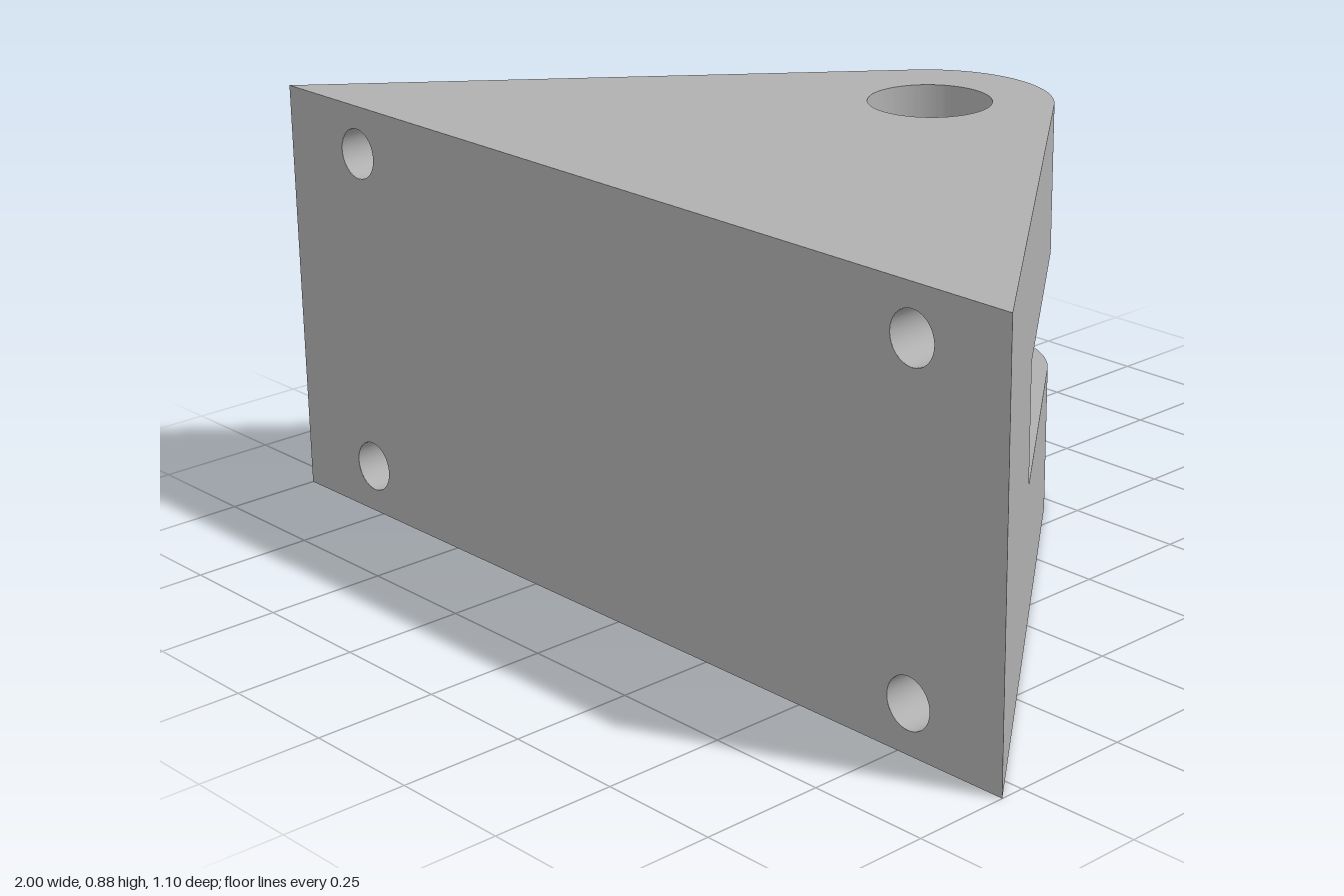
import * as THREE from 'three';
import { toCreasedNormals } from 'three/addons/utils/BufferGeometryUtils.js';

const H = 0.875;                              // overall height
const FRONT = 0.55, STEP = 0.05;              // front face and slot floor (z)
const SLOT_LOW = 0.3125, SLOT_HIGH = 0.5625;  // slot between the lugs (y)
const PIN_Z = -0.3, LUG_R = 0.25, BORE_R = 0.126;
const BOLT_X = 0.775, BOLT_Y = [0.1, 0.775], BOLT_R = 0.052, BOLT_DEPTH = 0.14;

// Angle on the lug arc where the straight flank from the front corner is tangent
const dz = FRONT - PIN_Z;
const TANGENT = Math.atan2(dz, 1) - Math.acos(LUG_R / Math.hypot(1, dz));
const tx = LUG_R * Math.cos(TANGENT), tz = PIN_Z + LUG_R * Math.sin(TANGENT);
const STEP_X = 1 - (1 - tx) * (FRONT - STEP) / (FRONT - tz);

// Extrude a plan outline (x, z) upward between two heights
function extrudePlan(shape, y0, y1) {
  const g = new THREE.ExtrudeGeometry(shape, { depth: y1 - y0, bevelEnabled: false, curveSegments: 64 });
  g.rotateX(Math.PI / 2);
  g.translate(0, y1, 0);
  return g;
}

// Remove the wall triangles lying in the given z planes, then set the normals
function openWalls(geometry, planes) {
  const p = geometry.getAttribute('position');
  const kept = [];
  for (let i = 0; i < p.count; i += 3) {
    const inPlane = planes.some(z => [0, 1, 2].every(k => Math.abs(p.getZ(i + k) - z) < 1e-4));
    if (inPlane) continue;
    for (let k = 0; k < 3; k++) kept.push(p.getX(i + k), p.getY(i + k), p.getZ(i + k));
  }
  const g = new THREE.BufferGeometry();
  g.setAttribute('position', new THREE.Float32BufferAttribute(kept, 3));
  return toCreasedNormals(g, 0.5);
}

export function createModel() {
  const group = new THREE.Group();
  group.name = 'clevisBracket';
  const grey = new THREE.MeshStandardMaterial({ color: 0xb0b0b0 });
  grey.name = 'plain grey';

  const add = (name, geometry) => {
    const mesh = new THREE.Mesh(geometry, grey);
    mesh.name = name;
    group.add(mesh);
    return mesh;
  };

  // Solid front block, open where the front plate and slot floor close it
  const block = new THREE.Shape([
    new THREE.Vector2(-1, FRONT), new THREE.Vector2(-STEP_X, STEP),
    new THREE.Vector2(STEP_X, STEP), new THREE.Vector2(1, FRONT),
  ]);
  add('frontBlock', openWalls(extrudePlan(block, 0, H), [FRONT, STEP]));

  // Rounded lugs with a pin bore, above and below the slot
  const lug = new THREE.Shape();
  lug.moveTo(-STEP_X, STEP);
  lug.lineTo(STEP_X, STEP);
  lug.lineTo(tx, tz);
  lug.absarc(0, PIN_Z, LUG_R, TANGENT, -Math.PI - TANGENT, true);
  lug.closePath();
  const bore = new THREE.Path();
  bore.absarc(0, PIN_Z, BORE_R, 0, Math.PI * 2, false);
  lug.holes.push(bore);
  add('lowerLug', openWalls(extrudePlan(lug, 0, SLOT_LOW), [STEP]));
  add('upperLug', openWalls(extrudePlan(lug, SLOT_HIGH, H), [STEP]));

  // Slot floor, facing the back
  const floor = new THREE.PlaneGeometry(STEP_X * 2, SLOT_HIGH - SLOT_LOW);
  floor.rotateY(Math.PI);
  add('slotFloor', floor).position.set(0, (SLOT_LOW + SLOT_HIGH) / 2, STEP);

  // Front face pierced by four blind bolt holes
  const face = new THREE.Shape([
    new THREE.Vector2(-1, 0), new THREE.Vector2(1, 0),
    new THREE.Vector2(1, H), new THREE.Vector2(-1, H),
  ]);
  const pocket = new THREE.LatheGeometry([
    new THREE.Vector2(BOLT_R, 0), new THREE.Vector2(BOLT_R, -BOLT_DEPTH), new THREE.Vector2(0, -BOLT_DEPTH),
  ], 32);
  pocket.rotateX(Math.PI / 2);
  const boltHole = toCreasedNormals(pocket, 0.5);
  for (const x of [-BOLT_X, BOLT_X]) {
    for (const y of BOLT_Y) {
      const hole = new THREE.Path();
      hole.absarc(x, y, BOLT_R, 0, Math.PI * 2, true);
      face.holes.push(hole);
      add('boltHole', boltHole).position.set(x, y, FRONT);
    }
  }
  add('frontFace', new THREE.ShapeGeometry(face, 32)).position.z = FRONT;

  return group;
}
